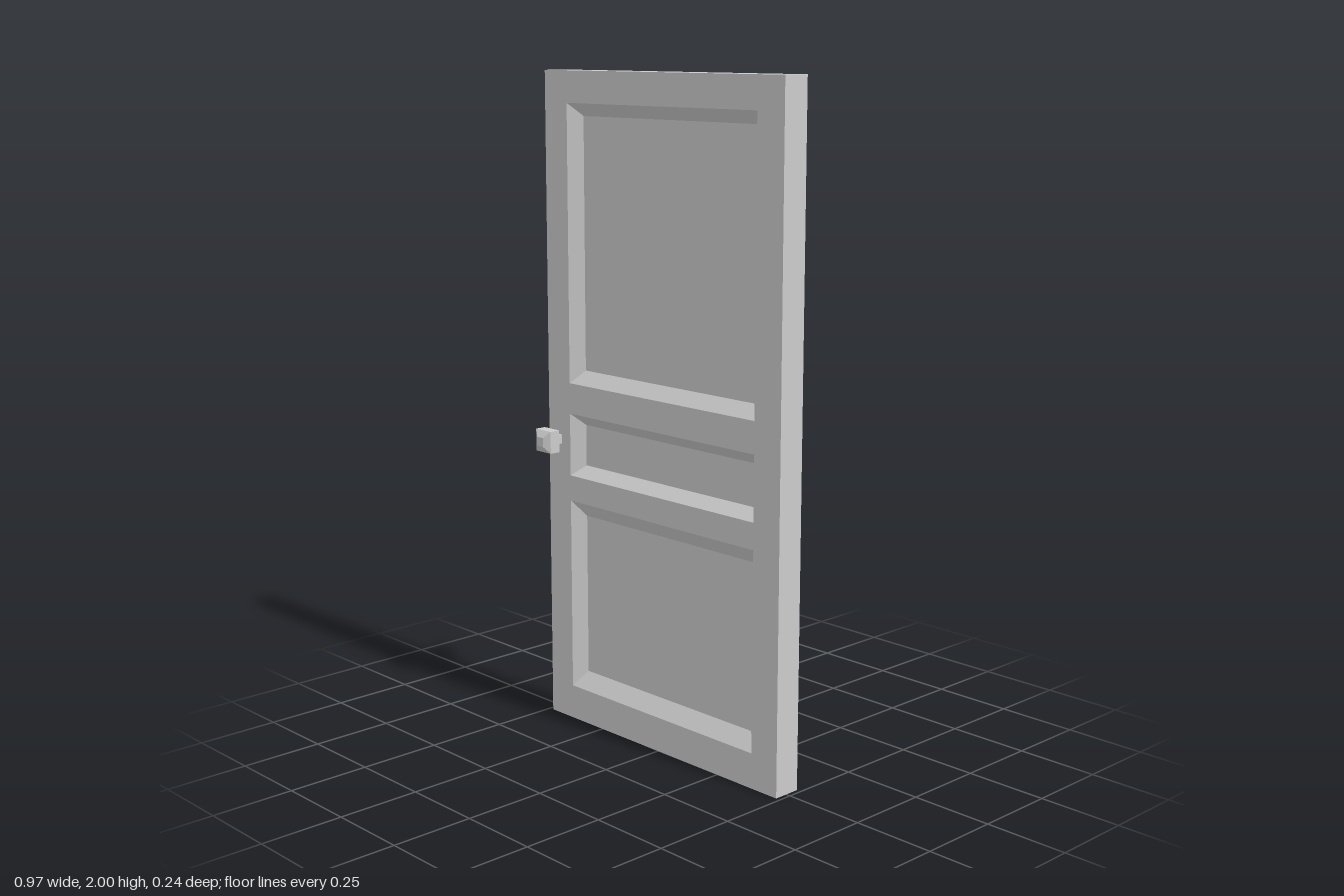
import * as THREE from 'three';

const material = new THREE.MeshStandardMaterial({ color: 0xcccccc, flatShading: true });

const HALF_WIDTH = 0.486, HEIGHT = 2, HALF_DEPTH = 0.043;
const RECESS = 0.035;

// Corners of a rectangle at depth z, counter-clockwise seen from +z
function ring(x0, x1, y0, y1, z) {
  return [[x0, y0, z], [x1, y0, z], [x1, y1, z], [x0, y1, z]];
}

// Skin a row of rectangular rings, optionally closing the last one
function loft(rings, cap) {
  const points = [];
  const quad = (a, b, c, d) => points.push(...a, ...b, ...c, ...a, ...c, ...d);
  for (let k = 0; k < rings.length - 1; k++) {
    const a = rings[k], b = rings[k + 1];
    for (let i = 0; i < 4; i++) {
      const j = (i + 1) % 4;
      quad(a[i], a[j], b[j], b[i]);
    }
  }
  if (cap) quad(...rings[rings.length - 1]);
  const geometry = new THREE.BufferGeometry();
  geometry.setAttribute('position', new THREE.Float32BufferAttribute(points, 3));
  geometry.computeVertexNormals();
  return geometry;
}

function addMesh(parent, name, geometry) {
  const mesh = new THREE.Mesh(geometry, material);
  mesh.name = name;
  parent.add(mesh);
  return mesh;
}

// Outer rectangle of each recess, with the heights of its flat field
const PANEL_X = 0.388, FIELD_X = 0.353;
const PANELS = [
  { name: 'upperPanel', outer: [1.069, 1.906], inner: [1.108, 1.868] },
  { name: 'middlePanel', outer: [0.782, 0.975], inner: [0.814, 0.94] },
  { name: 'lowerPanel', outer: [0.106, 0.703], inner: [0.154, 0.655] },
];

function rectanglePath(path, x0, x1, y0, y1) {
  path.moveTo(x0, y0).lineTo(x1, y0).lineTo(x1, y1).lineTo(x0, y1).closePath();
  return path;
}

// Half-size and distance from the door's middle plane, along the knob
const KNOB_PROFILE = [[0.014, 0.042], [0.014, 0.055], [0.034, 0.071], [0.034, 0.105], [0.014, 0.119]];

// One face of the door with its recessed panels and knob, looking along +z
function createSide(name, knobX) {
  const side = new THREE.Group();
  side.name = name;

  const outline = rectanglePath(new THREE.Shape(), -HALF_WIDTH, HALF_WIDTH, 0, HEIGHT);
  for (const { outer } of PANELS) {
    outline.holes.push(rectanglePath(new THREE.Path(), -PANEL_X, PANEL_X, ...outer));
  }
  addMesh(side, 'frameFace', new THREE.ShapeGeometry(outline)).position.z = HALF_DEPTH;

  // Sloping mouldings leading down to the flat fields
  for (const { name: panelName, outer, inner } of PANELS) {
    addMesh(side, panelName, loft([
      ring(-PANEL_X, PANEL_X, ...outer, HALF_DEPTH),
      ring(-FIELD_X, FIELD_X, ...inner, HALF_DEPTH - RECESS),
    ], true));
  }

  // Square knob on a short neck
  const knob = addMesh(side, 'knob', loft(KNOB_PROFILE.map(([r, z]) => ring(-r, r, -r, r, z)), true));
  knob.position.set(knobX, 0.89, 0);
  return side;
}

export function createModel() {
  const door = new THREE.Group();
  door.name = 'door';
  door.position.z = -0.001;

  // Outer edges of the slab
  addMesh(door, 'doorEdges', loft([
    ring(-HALF_WIDTH, HALF_WIDTH, 0, HEIGHT, -HALF_DEPTH),
    ring(-HALF_WIDTH, HALF_WIDTH, 0, HEIGHT, HALF_DEPTH),
  ], false));

  const front = createSide('frontSide', -0.441);
  const back = createSide('backSide', 0.441);
  back.rotation.y = Math.PI;
  door.add(front, back);

  const model = new THREE.Group();
  model.name = 'panelledDoor';
  model.add(door);
  return model;
}
